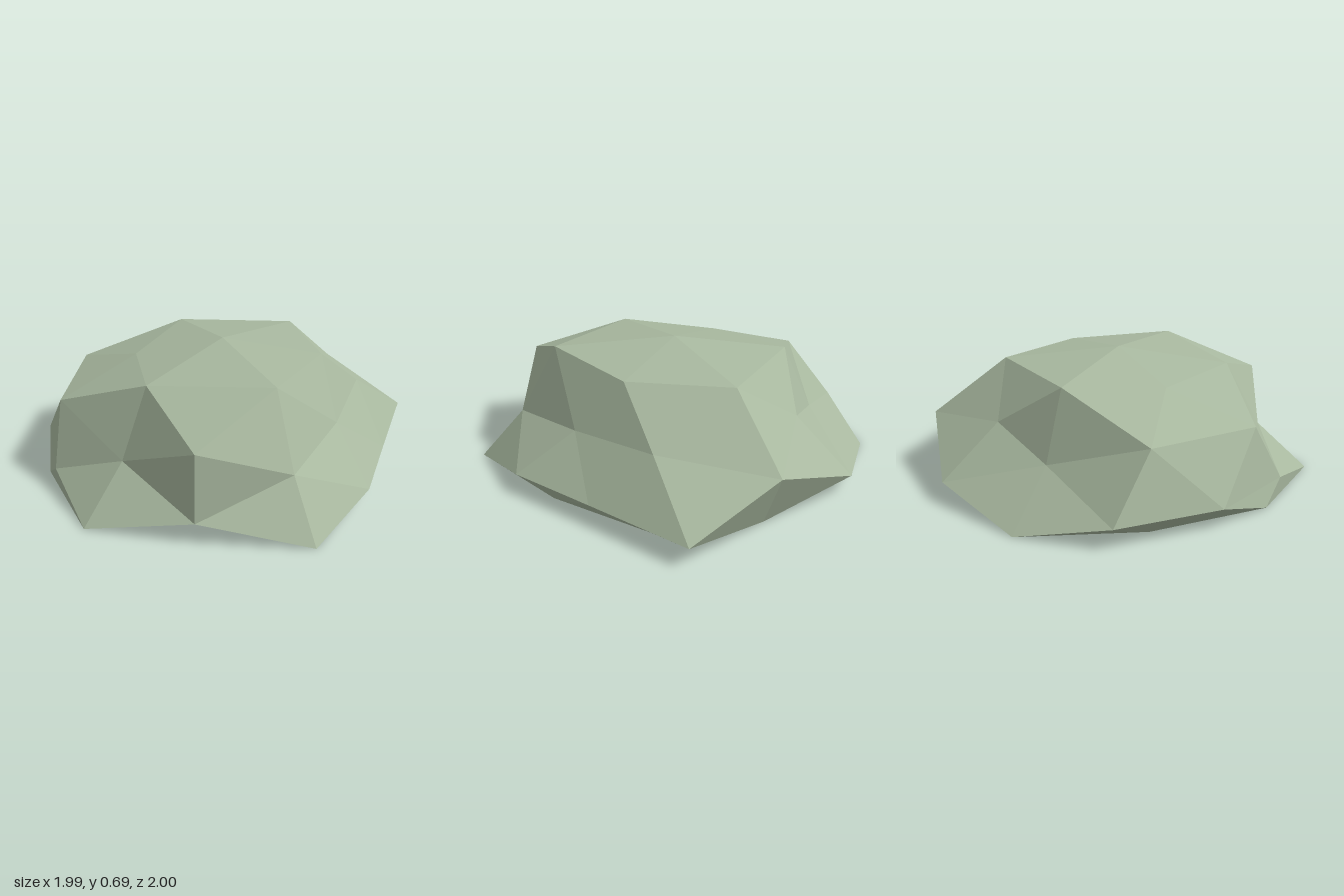
import * as THREE from 'three';

// Distance of each boulder corner from the core, keyed by its direction in tenths.
// Corners not listed lie inside the flat base and keep a distance of 1.
const RADII = {
  // crown
  '0,10,0': 0.965, '5,9,0': 1.01, '-5,9,0': 0.91,
  '3,8,5': 1.1, '-3,8,5': 1.01, '3,8,-5': 1.055, '-3,8,-5': 1.03,
  // shoulders
  '0,5,9': 1.1, '0,5,-9': 0.853,
  '8,5,3': 0.78, '-8,5,3': 1.015, '8,5,-3': 0.9, '-8,5,-3': 1.06,
  '5,3,8': 0.89, '-5,3,8': 0.82, '5,3,-8': 1.08, '-5,3,-8': 0.8,
  // widest ring
  '10,0,0': 0.89, '-10,0,0': 1.0, '0,0,10': 0.955, '0,0,-10': 1.045,
  '9,0,5': 0.953, '9,0,-5': 1.165, '-9,0,5': 0.953, '-9,0,-5': 1.094,
  // foot
  '5,-3,8': 1.14, '-5,-3,8': 1.11, '5,-3,-8': 0.933, '-5,-3,-8': 1.13,
  '8,-5,3': 0.955, '-8,-5,3': 1.11, '8,-5,-3': 1.01, '-8,-5,-3': 1.04,
  '0,-5,9': 0.8, '0,-5,-9': 0.85,
};

export function createModel() {
  const group = new THREE.Group();
  group.name = 'rock';

  const stone = new THREE.MeshStandardMaterial({ color: 0xa8b89f });
  stone.name = 'mossy stone';

  // Boulder: a once-divided icosahedron, pushed in and out, squashed and cut flat at the ground
  const geometry = new THREE.IcosahedronGeometry(1, 1);
  const position = geometry.attributes.position;
  const v = new THREE.Vector3();
  for (let i = 0; i < position.count; i++) {
    v.fromBufferAttribute(position, i).normalize();
    const key = v.toArray().map((c) => Math.round(c * 10)).join(',');
    v.multiplyScalar(RADII[key] ?? 1);
    position.setXYZ(i, v.x, Math.max(0, 0.105 + v.y * 0.61), v.z + 0.045);
  }
  geometry.computeVertexNormals(); // unshared corners give flat facets

  const boulder = new THREE.Mesh(geometry, stone);
  boulder.name = 'boulder';
  group.add(boulder);
  return group;
}
